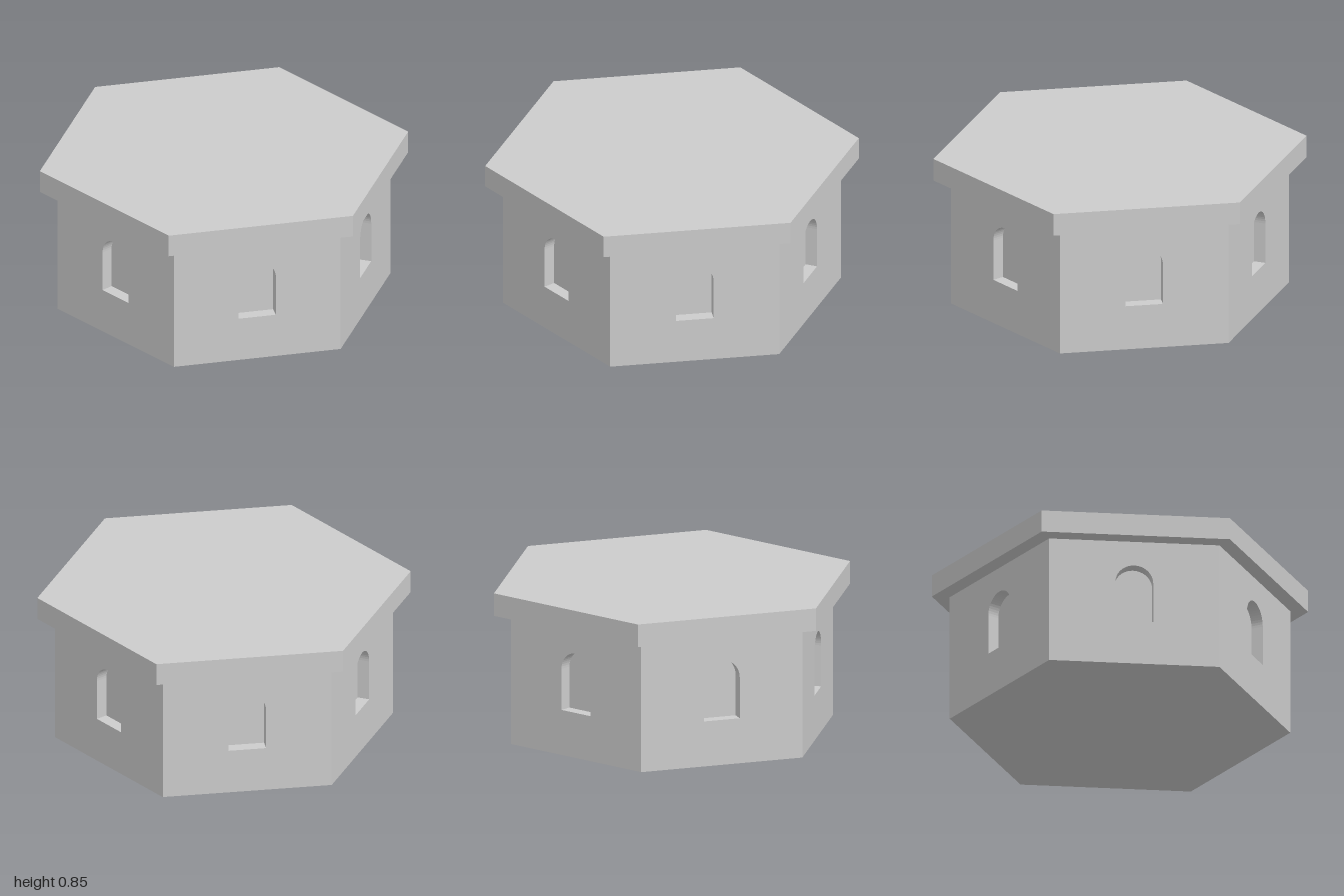
import * as THREE from 'three';

const TURN = THREE.MathUtils.degToRad(-10); // heading of the first corner
const WALL_R = 0.919, WALL_H = 0.72;
const ROOF_R = 1.0154, ROOF_H = 0.125;
const DEPTH = 0.066; // window recess
const APOTHEM = WALL_R * Math.cos(Math.PI / 6);

// Solid hexagonal prism standing on y = bottom
function hexPrism(radius, height, bottom) {
  const g = new THREE.CylinderGeometry(radius, radius, height, 6, 1, false, TURN);
  return g.translate(0, bottom + height / 2, 0);
}

// One wall slab with an arched opening, mitred to meet its neighbours
function wallPanel() {
  const half = WALL_R / 2, w = 0.1025, sill = 0.25, spring = 0.4775;
  const shape = new THREE.Shape();
  shape.moveTo(-half, 0).lineTo(half, 0).lineTo(half, WALL_H).lineTo(-half, WALL_H).closePath();
  const arch = new THREE.Path();
  arch.moveTo(-w, sill).lineTo(w, sill).lineTo(w, spring);
  arch.absarc(0, spring, w, 0, Math.PI, false);
  arch.lineTo(-w, sill);
  shape.holes.push(arch);

  const g = new THREE.ExtrudeGeometry(shape, { depth: DEPTH, bevelEnabled: false, curveSegments: 12 });
  const p = g.attributes.position;
  const mitre = DEPTH * Math.tan(Math.PI / 6);
  for (let i = 0; i < p.count; i++) {
    const x = p.getX(i);
    if (p.getZ(i) < 0.001 && Math.abs(x) > half - 0.001) p.setX(i, x - Math.sign(x) * mitre);
  }
  g.translate(0, 0, APOTHEM - DEPTH);
  g.computeVertexNormals();
  return g;
}

export function createModel() {
  const model = new THREE.Group();
  model.name = 'hexagonalTower';
  const stone = new THREE.MeshStandardMaterial({ color: 0xcccccc, flatShading: true });
  stone.name = 'paleStone';

  const add = (name, geometry) => {
    const mesh = new THREE.Mesh(geometry, stone);
    mesh.name = name;
    model.add(mesh);
    return mesh;
  };

  // Inner core forms the back of every window niche
  add('core', hexPrism((APOTHEM - DEPTH) / Math.cos(Math.PI / 6), WALL_H, 0));

  // Six walls, each with an arched niche
  const panel = wallPanel();
  for (let i = 0; i < 6; i++) {
    add('wall' + (i + 1), panel).rotation.y = TURN + Math.PI / 6 + (i * Math.PI) / 3;
  }

  // Overhanging flat roof slab
  add('roof', hexPrism(ROOF_R, ROOF_H, WALL_H));
  return model;
}
